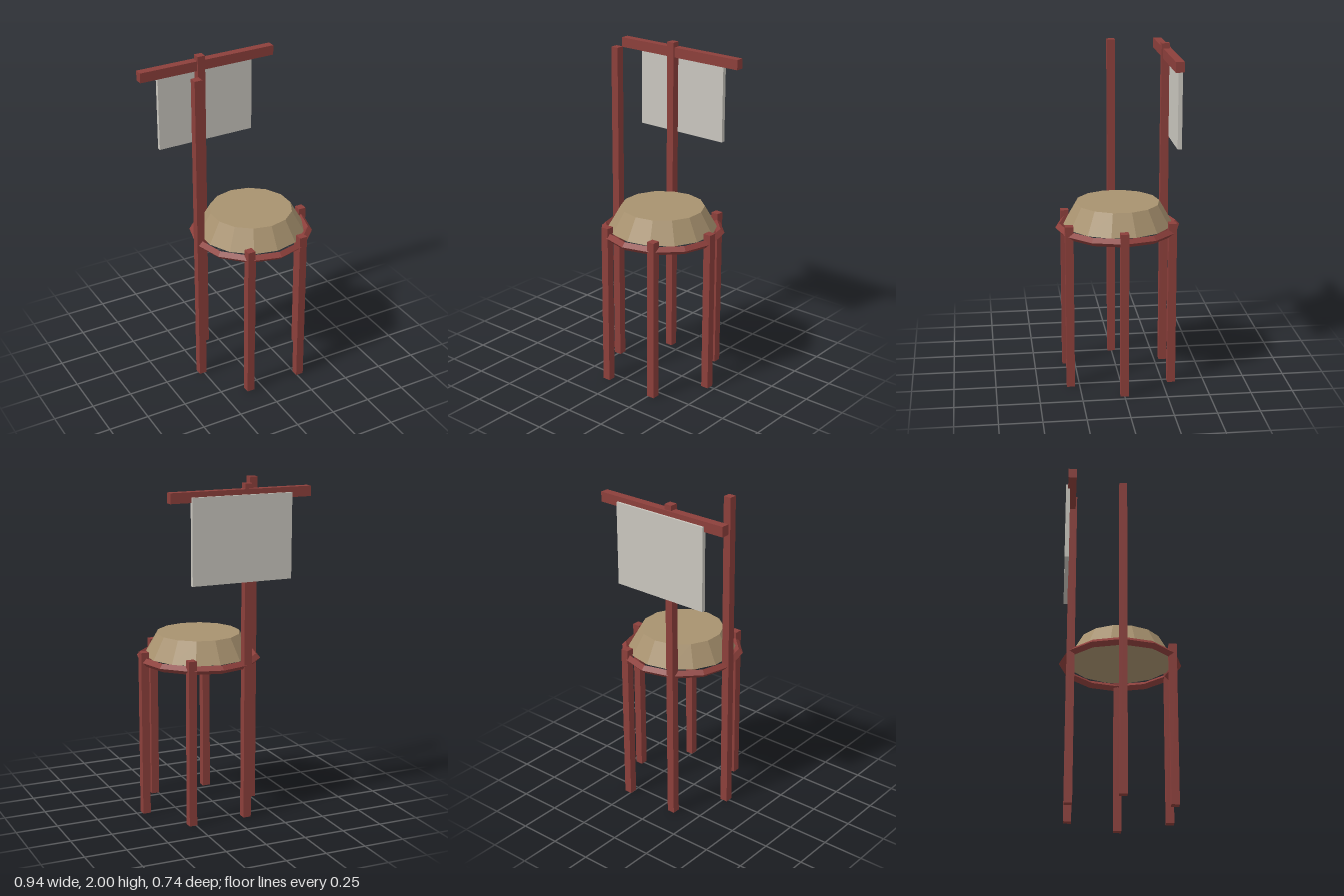
import * as THREE from 'three';

export function createModel() {
  const group = new THREE.Group();
  const material = (name, color) => {
    const m = new THREE.MeshStandardMaterial({ color, flatShading: true });
    m.name = name;
    return m;
  };
  const redWood = material('red wood', 0x8c3f3b);
  const tanCushion = material('tan cushion', 0xa8926f);
  const paleGrey = material('pale grey panel', 0xc9c6be);

  const add = (name, geometry, mat, x, y, z) => {
    const mesh = new THREE.Mesh(geometry, mat);
    mesh.name = name;
    mesh.position.set(x, y, z);
    group.add(mesh);
    return mesh;
  };

  const seatX = 0.093, legCircle = 0.35, legWidth = 0.048;

  // Six legs around the seat; two of them rise to become the back posts
  for (let i = 0; i < 6; i++) {
    const a = (i * Math.PI) / 3;
    const isPost = i === 3 || i === 4;
    const height = isPost ? 2 : 1;
    add(isPost ? 'backPost' : 'leg', new THREE.BoxGeometry(legWidth, height, legWidth), redWood,
      seatX + legCircle * Math.cos(a), height / 2, legCircle * Math.sin(a));
  }

  // Twelve-sided hoop with a diamond section
  const hoop = add('seatHoop', new THREE.TorusGeometry(0.347, 0.025, 4, 12), redWood, seatX, 0.94, 0);
  hoop.rotation.x = -Math.PI / 2;

  // Tapered cushion
  add('seatCushion', new THREE.CylinderGeometry(0.25, 0.324, 0.13, 14), tanCushion, seatX, 1.025, 0);

  // Crossbar and the panel hanging behind it
  add('backCrossbar', new THREE.BoxGeometry(0.873, 0.06, 0.05), redWood, -0.033, 1.94, -0.313);
  add('backPanel', new THREE.BoxGeometry(0.62, 0.5, 0.025), paleGrey, -0.033, 1.69, -0.338);

  return group;
}
